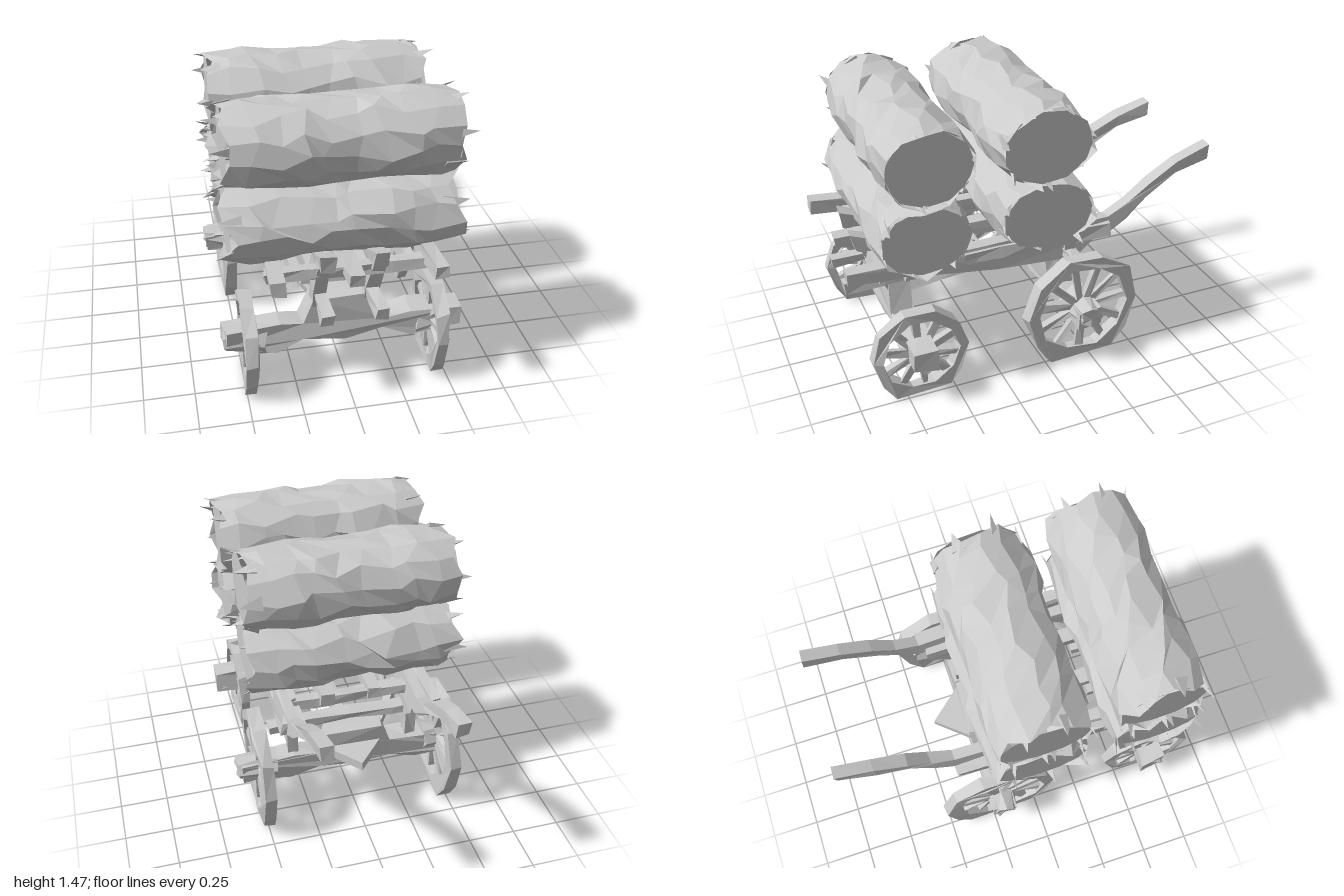
import * as THREE from 'three';

const material = new THREE.MeshStandardMaterial({ color: 0xcccccc, flatShading: true, side: THREE.DoubleSide });

// Repeatable noise from a position, so coincident corners stay joined
function noise(x, y, z, seed) {
  const k = Math.sin(Math.round(x * 500) * 12.9898 + Math.round(y * 500) * 78.233 + Math.round(z * 500) * 37.719 + seed * 4.37) * 43758.5453;
  return (k - Math.floor(k)) * 2 - 1;
}

function roughen(geometry, amount, seed = 1) {
  const p = geometry.attributes.position;
  for (let i = 0; i < p.count; i++) {
    const [x, y, z] = [p.getX(i), p.getY(i), p.getZ(i)];
    p.setXYZ(i, x + amount * noise(x, y, z, seed), y + amount * noise(x, y, z, seed + 1), z + amount * noise(x, y, z, seed + 2));
  }
  geometry.computeVertexNormals();
  return geometry;
}

function add(parent, name, geometry) {
  const mesh = new THREE.Mesh(geometry, material);
  mesh.name = name;
  parent.add(mesh);
  return mesh;
}

// Straight hewn timber between two points
function beam(parent, name, a, b, w, h) {
  const from = new THREE.Vector3(...a), to = new THREE.Vector3(...b);
  const length = from.distanceTo(to);
  const mesh = add(parent, name, roughen(new THREE.BoxGeometry(w, h, length, 1, 1, Math.max(1, Math.round(length / 0.2))), 0.009, a[0] * 9 + a[2]));
  mesh.position.copy(from).lerp(to, 0.5);
  mesh.quaternion.setFromRotationMatrix(new THREE.Matrix4().lookAt(to, from, mesh.up));
  return mesh;
}

// Plank cut from a side outline of [z, y] points, splayed along z
function sidePlank(parent, name, outline, x, width, splay = 0) {
  const shape = new THREE.Shape(outline.map(([z, y]) => new THREE.Vector2(z, y)));
  const g = new THREE.ExtrudeGeometry(shape, { depth: width, bevelEnabled: false });
  g.translate(0, 0, -width / 2).rotateY(-Math.PI / 2);
  const p = g.attributes.position;
  for (let i = 0; i < p.count; i++) p.setX(i, p.getX(i) + x + splay * p.getZ(i));
  return add(parent, name, roughen(g, 0.007, x));
}

// Faceted log lying along x, pinched in the middle, with ragged bark ends
function log(parent, name, y, z, ry, rz, seed) {
  const bark = new THREE.CylinderGeometry(1, 1, 1.08, 13, 9, true).rotateZ(Math.PI / 2);
  const p = bark.attributes.position;
  for (let i = 0; i < p.count; i++) {
    const [x, py, pz] = [p.getX(i), p.getY(i), p.getZ(i)];
    const t = Math.abs(x) / 0.54, end = t > 0.98;
    const pinch = 0.08 * Math.exp(-t * t * 40) + 0.08 * t ** 6;
    const swell = 1.01 - pinch + 0.055 * noise(x, py, pz, seed);
    const shift = 0.045 * noise(x, py, pz, seed + 5);
    const twist = end ? 0 : 0.15 * noise(x, py, pz, seed + 9);
    p.setXYZ(i, x + shift, (py + twist * pz) * ry * swell, (pz - twist * py) * rz * swell);
  }
  bark.computeVertexNormals();
  const g = new THREE.Group();
  g.name = name;
  g.position.set(-0.02, y, z);
  parent.add(g);
  add(g, 'bark', bark);
  for (const s of [-1, 1]) {
    const face = add(g, 'cutEnd', new THREE.CircleGeometry(1, 11).rotateY(s * Math.PI / 2));
    face.scale.set(1, ry * 0.92, rz * 0.92);
    face.position.x = s * 0.53;
    // Flat torn slivers of bark around the cut end
    for (let i = 0; i < 7; i++) {
      const a = i * 0.9 + seed, n = noise(s, i, seed, 3);
      const sliver = add(g, 'barkSliver', new THREE.ConeGeometry(0.05, 0.13 + 0.05 * n, 3).rotateZ(-s * Math.PI / 2));
      sliver.geometry.scale(1, 0.35, 1).rotateZ(s * (0.1 + 0.3 * n));
      sliver.position.set(s * 0.52, Math.cos(a) * ry * 0.9, Math.sin(a) * rz * 0.9);
      sliver.rotation.x = a;
    }
  }
}

// Spoked wheel, worn flat where it meets the ground
function wheel(parent, name, x, y, z, radius, spokes) {
  const g = new THREE.Group();
  g.name = name;
  g.position.set(x, y, z);
  parent.add(g);
  const sides = 10;
  const ring = (r) => Array.from({ length: sides }, (_, i) => {
    const a = i / sides * Math.PI * 2;
    const worn = Math.sin(a) * r < -radius * 0.9 ? 1.9 : 1;
    return new THREE.Vector2(Math.cos(a) * r * worn, Math.sin(a) * r);
  });
  const shape = new THREE.Shape(ring(radius / Math.cos(Math.PI / sides)));
  shape.holes.push(new THREE.Path(ring(radius * 0.84)));
  const rim = new THREE.ExtrudeGeometry(shape, { depth: 0.06, bevelEnabled: false });
  rim.translate(0, 0, -0.03).rotateY(-Math.PI / 2);
  add(g, 'rim', roughen(rim, 0.01, x));
  const hub = add(g, 'hub', roughen(new THREE.CylinderGeometry(0.06, 0.08, 0.2, 8, 2).rotateZ(-Math.sign(x) * Math.PI / 2), 0.012, z));
  hub.position.x = Math.sign(x) * 0.015;
  for (let i = 0; i < spokes; i++) {
    const a = i / spokes * Math.PI * 2 + 0.2;
    const c = Math.cos(a), s = Math.sin(a);
    beam(g, 'spoke', [0, s * 0.04, c * 0.04], [0, s * radius * 0.88, c * radius * 0.88], 0.035, 0.035);
  }
}

// Axle with a heavy middle block and swelling arms
function axle(parent, name, y, z, blockTop) {
  const outline = [[-0.59, -0.05], [-0.5, -0.06], [-0.35, -0.08], [-0.2, -0.03], [0, -0.05], [0.2, -0.03], [0.35, -0.08], [0.5, -0.06], [0.6, -0.05],
    [0.6, 0.05], [0.33, 0.07], [0.21, 0.06], [0.16, blockTop], [-0.16, blockTop], [-0.21, 0.06], [-0.33, 0.07], [-0.59, 0.05]];
  const shape = new THREE.Shape(outline.map((q) => new THREE.Vector2(...q)));
  const geo = new THREE.ExtrudeGeometry(shape, { depth: 0.12, bevelEnabled: false }).translate(0, y, z - 0.06);
  add(parent, name, roughen(geo, 0.012, z));
}

export function createModel() {
  const cart = new THREE.Group();
  cart.name = 'logCart';

  // Load of four logs
  log(cart, 'frontLowerLog', 0.885, 0.62, 0.19, 0.245, 1);
  log(cart, 'rearLowerLog', 0.885, 0, 0.19, 0.26, 2);
  log(cart, 'frontUpperLog', 1.255, 0.595, 0.205, 0.235, 3);
  log(cart, 'rearUpperLog', 1.255, 0.005, 0.205, 0.25, 4);

  // Running gear
  for (const s of [-1, 1]) {
    wheel(cart, 'rearWheel', s * 0.495 + 0.012, 0.305, -0.2, 0.3, 11);
    wheel(cart, 'frontWheel', s * 0.465 - 0.01, 0.235, 0.67, 0.235, 10);
  }
  axle(cart, 'rearAxle', 0.29, -0.2, 0.17);
  axle(cart, 'frontAxle', 0.26, 0.67, 0.2);
  beam(cart, 'perchPole', [0, 0.37, -0.2], [0, 0.36, 0.68], 0.07, 0.035);

  for (const s of [-1, 1]) {
    // Long bed rails ending in raised handles
    sidePlank(cart, 'railWithHandle', [[0.99, 0.68], [0.8, 0.66], [0.3, 0.65], [-0.4, 0.63], [-0.5, 0.69], [-0.62, 0.79], [-0.8, 0.89],
      [-0.99, 0.94], [-0.99, 1.02], [-0.8, 0.96], [-0.64, 0.88], [-0.52, 0.78], [-0.4, 0.73], [0.3, 0.73], [0.78, 0.74], [0.99, 0.75]],
      s * 0.347 + 0.017, 0.065, s * 0.033);
    // Deep side beams below the bed
    sidePlank(cart, 'underBeam', [[0.82, 0.65], [0.55, 0.57], [0.2, 0.52], [-0.24, 0.5], [-0.36, 0.6], [-0.36, 0.66], [0.3, 0.67]], s * 0.31, 0.05);
    // Inner bed slats and outer stubs
    sidePlank(cart, 'bedSlat', [[0.88, 0.7], [0.8, 0.66], [-0.25, 0.65], [-0.25, 0.72], [0.75, 0.73], [0.9, 0.8]], s * 0.125 + 0.01, 0.075);
    beam(cart, 'railStub', [s * 0.39, 0.67, -0.4], [s * 0.39, 0.68, 0.4], 0.05, 0.07);
    // Posts and braces between axles and bed
    beam(cart, 'rearPost', [s * 0.32, 0.32, -0.2], [s * 0.33, 0.7, -0.2], 0.05, 0.06);
    beam(cart, 'rearBrace', [s * 0.14, 0.4, -0.2], [s * 0.3, 0.6, -0.05], 0.05, 0.05);
    beam(cart, 'frontPost', [s * 0.13, 0.36, 0.66], [s * 0.13, 0.72, 0.82], 0.06, 0.07);
    beam(cart, 'frontBrace', [s * 0.13, 0.42, 0.62], [s * 0.3, 0.58, 0.32], 0.05, 0.05);
    beam(cart, 'tongueArm', [s * 0.13, 0.49, 0.95], [s * 0.13, 0.5, 0.42], 0.055, 0.055);
  }
  beam(cart, 'centreSlat', [0, 0.69, 0.95], [0, 0.69, 0.45], 0.07, 0.06);

  // Cross bars under the bed
  for (const z of [-0.2, 0.08, 0.5, 0.8]) beam(cart, 'crossBar', [-0.4, 0.665, z], [0.4, 0.665, z], 0.06, 0.05);
  beam(cart, 'rearBolster', [-0.44, 0.54, -0.2], [0.45, 0.54, -0.2], 0.07, 0.04);
  beam(cart, 'frontBolster', [-0.2, 0.51, 0.6], [0.2, 0.51, 0.6], 0.08, 0.05);

  // Pointed plate behind the rear axle
  const plate = new THREE.Shape([[-0.2, 0.2], [0.2, 0.2], [0, 0.43]].map((q) => new THREE.Vector2(...q)));
  const plateGeometry = new THREE.ExtrudeGeometry(plate, { depth: 0.05, bevelEnabled: false }).rotateX(-Math.PI / 2);
  add(cart, 'rearPlate', plateGeometry).position.y = 0.33;
  return cart;
}
